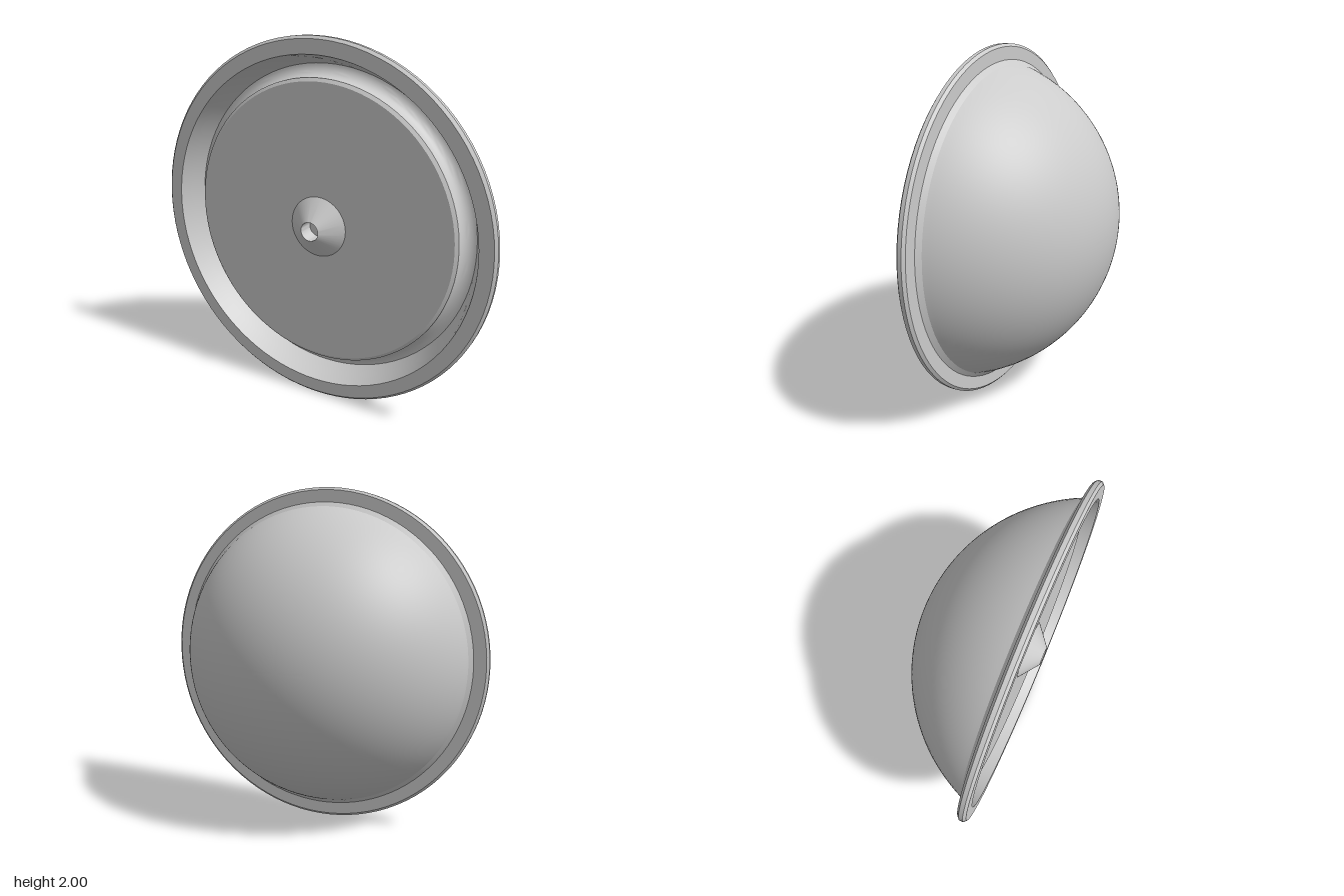
import * as THREE from 'three';
import { toCreasedNormals } from 'three/addons/utils/BufferGeometryUtils.js';

const material = new THREE.MeshStandardMaterial({ color: 0xcccccc });

// Turns a profile of [radius, z] points around the z axis
function turned(name, profile, segments = 96) {
  const points = profile.map(([r, z]) => new THREE.Vector2(r, z));
  const geometry = toCreasedNormals(new THREE.LatheGeometry(points, segments), 0.4);
  geometry.rotateX(Math.PI / 2);
  const mesh = new THREE.Mesh(geometry, material);
  mesh.name = name;
  return mesh;
}

// Points on a circular arc, from angle a to angle b
function arc(cr, cz, radius, a, b, steps) {
  return Array.from({ length: steps + 1 }, (_, i) => {
    const t = a + (b - a) * i / steps;
    return [Math.max(0, cr + radius * Math.cos(t)), cz + radius * Math.sin(t)];
  });
}

export function createModel() {
  const group = new THREE.Group();
  group.name = 'domedDish';

  // Spherical back
  const R = 0.957, centreZ = 0.602;
  const edge = -Math.acos(0.89 / R);
  group.add(turned('dome', arc(0, centreZ, R, -Math.PI / 2, edge, 40)));

  // Flange with bevelled edges and a sloping inner wall
  group.add(turned('rim', [
    [0.89, 0.25], [0.915, 0.272], [0.985, 0.272], [1, 0.285], [1, 0.308],
    [0.985, 0.322], [0.91, 0.322], [0.885, 0.24], [0.855, 0.18],
  ]));

  // Front plate: bevelled edge running down into a rounded groove
  group.add(turned('frontPlate', [
    ...arc(0.855, 0.245, 0.065, -Math.PI / 2, -Math.PI, 10),
    [0.79, 0.255], [0.772, 0.267], [0, 0.267],
  ]));

  // Conical boss with a small bore
  group.add(turned('centreBoss', [
    [0.167, 0.267], [0.052, 0.357], [0.052, 0.268], [0, 0.268],
  ], 48));

  group.position.y = 1;
  const model = new THREE.Group();
  model.add(group);
  return model;
}
